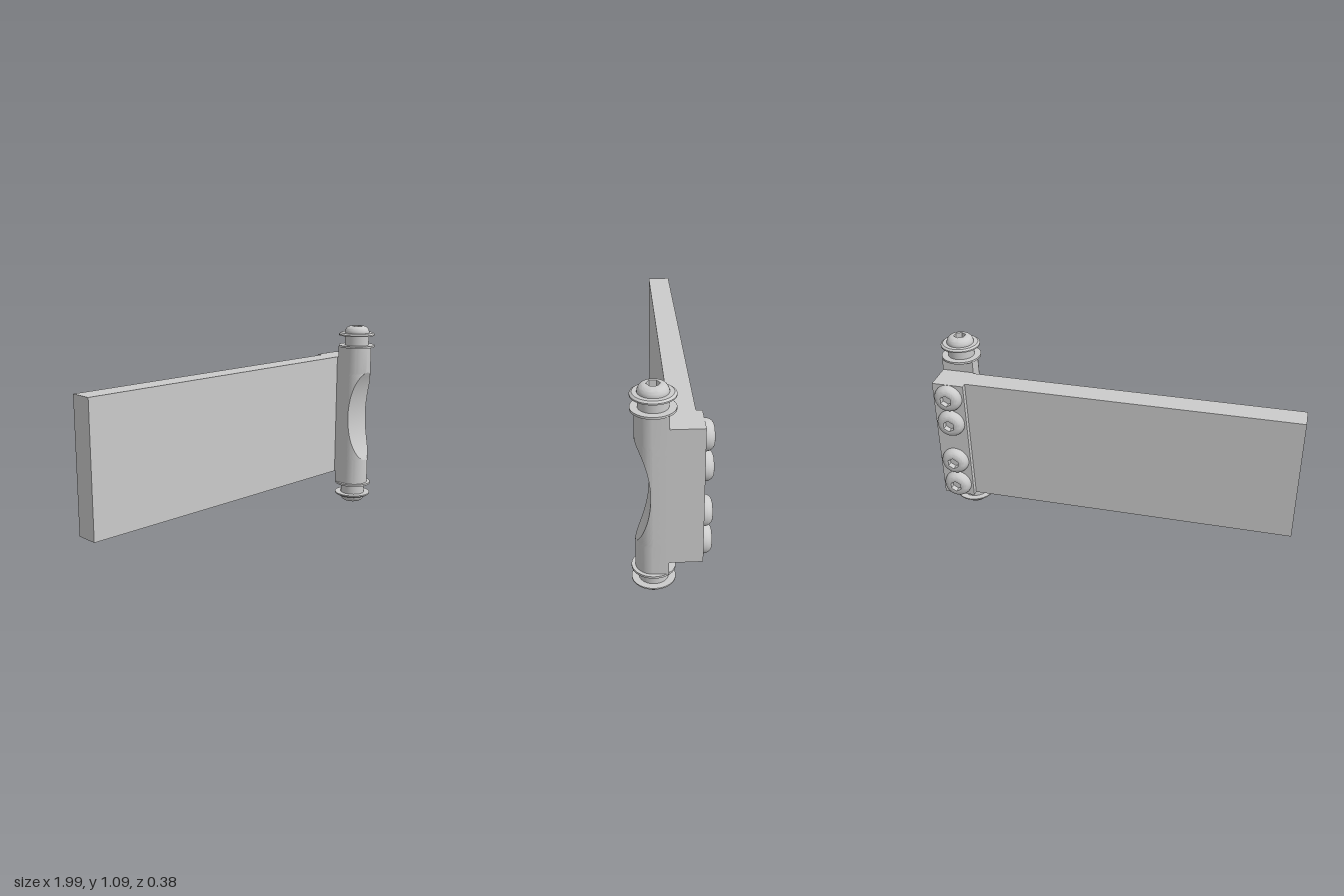
import * as THREE from 'three';
import { toCreasedNormals } from 'three/addons/utils/BufferGeometryUtils.js';

const AXIS_X = 0.888, AXIS_Z = 0.083, R = 0.087, MID_Y = 0.5425;
const grey = new THREE.MeshStandardMaterial({ color: 0xcccccc });
const greyDouble = new THREE.MeshStandardMaterial({ color: 0xcccccc, side: THREE.DoubleSide });

function part(name, geometry, x = 0, y = 0, z = 0, material = grey) {
  const m = new THREE.Mesh(geometry, material);
  m.name = name;
  m.position.set(x, y, z);
  return m;
}

function box(name, x0, x1, y0, y1, z0, z1) {
  return part(name, new THREE.BoxGeometry(x1 - x0, y1 - y0, z1 - z0),
    (x0 + x1) / 2, (y0 + y1) / 2, (z0 + z1) / 2);
}

// Button-head screw pointing up +y, with a hex socket
function buttonScrew(name, radius, height) {
  const g = new THREE.Group();
  g.name = name;
  const flat = radius * 0.52, hex = 0.033, depth = height * 0.7;
  const pts = [new THREE.Vector2(radius, 0)];
  for (let i = 0; i <= 10; i++) {
    const t = (i / 10) * Math.PI / 2;
    pts.push(new THREE.Vector2(flat + (radius - flat) * Math.cos(t), height * (0.08 + 0.92 * Math.sin(t))));
  }
  g.add(part('screwDome', toCreasedNormals(new THREE.LatheGeometry(pts, 40), 0.5)));

  const face = new THREE.Shape().absarc(0, 0, flat, 0, Math.PI * 2);
  const hole = new THREE.Path();
  for (let i = 0; i <= 6; i++) {
    const a = i * Math.PI / 3, x = hex * Math.sin(a), y = hex * Math.cos(a);
    if (i) hole.lineTo(x, y); else hole.moveTo(x, y);
  }
  face.holes.push(hole);
  g.add(part('screwFace', new THREE.ShapeGeometry(face, 20).rotateX(-Math.PI / 2), 0, height, 0));
  const wall = toCreasedNormals(new THREE.CylinderGeometry(hex, hex, depth, 6, 1, true), 0.3);
  g.add(part('hexSocket', wall, 0, height - depth / 2, 0, greyDouble));
  g.add(part('socketFloor', new THREE.CircleGeometry(hex, 24).rotateX(-Math.PI / 2), 0, height - depth, 0));
  return g;
}

// Round-fronted barrel with a flat back and a circular scoop cut across its front
function barrelGeometry(y0, y1, back) {
  const half = 0.27, sag = 0.07, scoopR = (half * half + sag * sag) / (2 * sag);
  const rows = [y0];
  for (let i = 0; i <= 40; i++) rows.push(MID_Y - half + (2 * half * i) / 40);
  rows.push(y1);

  // Cross-section: side arc, flat where the scoop cuts, side arc, flat back
  const section = (y) => {
    const d = Math.abs(y - MID_Y);
    const cut = d < half ? R - sag + scoopR - Math.sqrt(scoopR ** 2 - d ** 2) : R;
    const a = Math.max(0.08, Math.acos(Math.min(1, cut / R)));
    const loop = [[-R, back - AXIS_Z]];
    for (const side of [-1, 1]) {
      for (let i = 0; i <= 14; i++) {
        const k = side < 0 ? i / 14 : 1 - i / 14;
        const t = Math.PI / 2 + (a - Math.PI / 2) * k;
        loop.push([side * R * Math.sin(t), R * Math.cos(t)]);
      }
    }
    loop.push([R, back - AXIS_Z]);
    return loop;
  };

  const pos = [], idx = [];
  let n = 0;
  for (const y of rows) {
    const loop = section(y);
    n = loop.length;
    for (const [x, z] of loop) pos.push(x, y, z);
  }
  for (let r = 0; r < rows.length - 1; r++) {
    for (let j = 0; j < n; j++) {
      const a = r * n + j, b = r * n + (j + 1) % n;
      idx.push(a, b, b + n, a, b + n, a + n);
    }
  }
  // End caps
  const last = (rows.length - 1) * n;
  for (let j = 1; j < n - 1; j++) {
    idx.push(0, j + 1, j);
    idx.push(last, last + j, last + j + 1);
  }
  const g = new THREE.BufferGeometry();
  g.setAttribute('position', new THREE.Float32BufferAttribute(pos, 3));
  g.setIndex(idx);
  return toCreasedNormals(g, 0.4);
}

// Washer, sleeve, flange and screw, stacked outward from the barrel end
function endStack(name) {
  const g = new THREE.Group();
  g.name = name;
  const disc = (n, r, y0, y1, r2 = r) =>
    g.add(part(n, new THREE.CylinderGeometry(r2, r, y1 - y0, 48), 0, (y0 + y1) / 2, 0));
  disc('washer', 0.106, 0.419, 0.43);
  disc('sleeve', 0.071, 0.43, 0.492);
  disc('flangeRim', 0.106, 0.488, 0.495);
  disc('flangeTaper', 0.106, 0.495, 0.503, 0.095);
  const screw = buttonScrew('endScrew', 0.073, 0.0425);
  screw.position.y = 0.5;
  g.add(screw);
  g.position.set(AXIS_X, MID_Y, AXIS_Z);
  return g;
}

export function createModel() {
  const model = new THREE.Group();
  model.name = 'hingedPanel';

  model.add(box('panel', -1, 0.805, 0.187, 0.9, -0.115, 0.008));
  model.add(box('mountingBlock', AXIS_X - R, AXIS_X + R, 0.187, 0.9, -0.145, 0.016));
  model.add(part('barrel', barrelGeometry(0.12, 0.965, 0.015), AXIS_X, 0, AXIS_Z));

  // Pivot hardware at both ends
  const bottom = endStack('bottomPivot');
  bottom.rotation.x = Math.PI;
  model.add(endStack('topPivot'), bottom);

  // Row of screws on the back of the block
  for (const y of [0.264, 0.42, 0.666, 0.823]) {
    const s = buttonScrew('backScrew', 0.076, 0.046);
    s.rotation.x = -Math.PI / 2;
    s.position.set(AXIS_X, y, -0.144);
    model.add(s);
  }
  return model;
}
